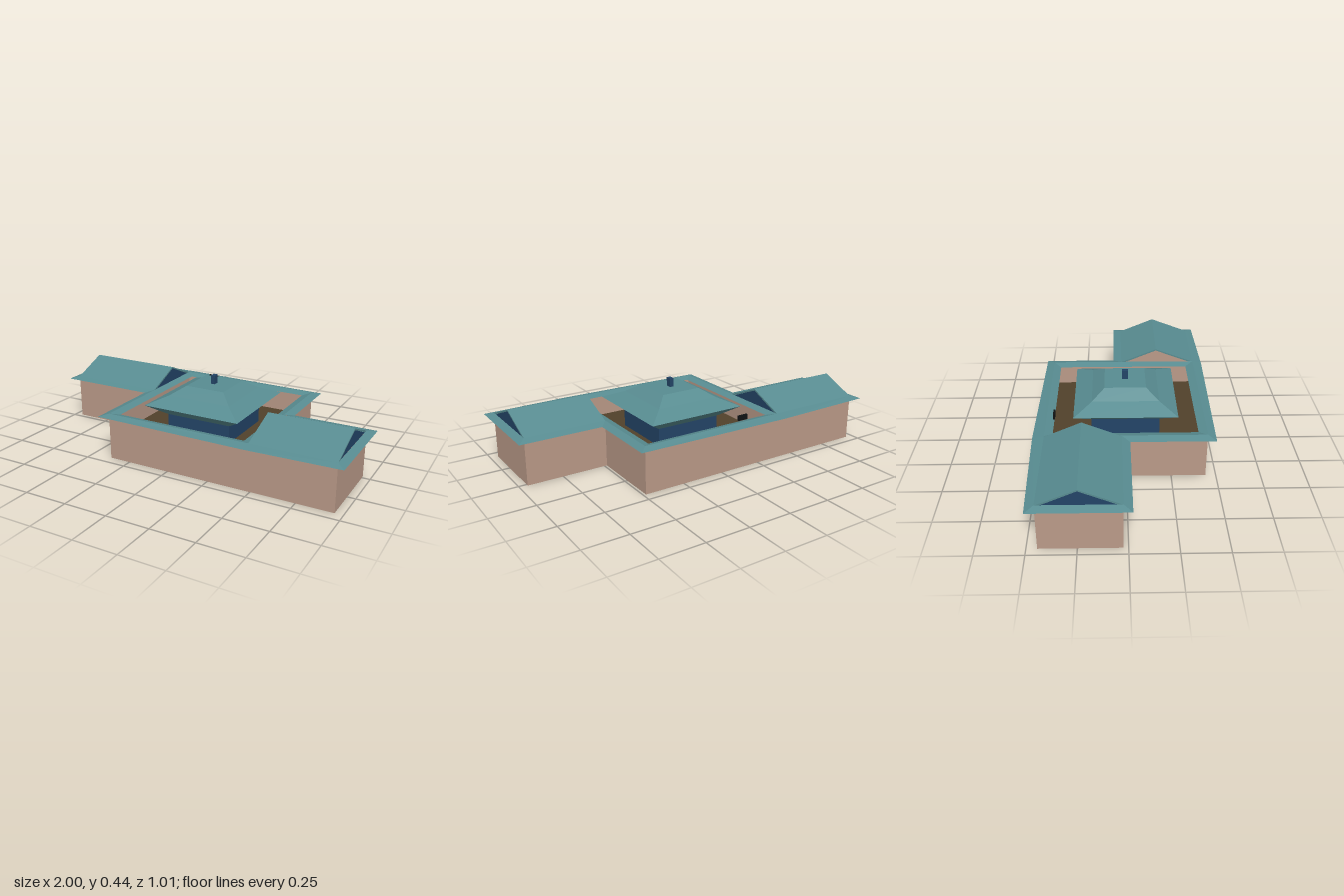
import * as THREE from 'three';

const mat = (name, color, side = THREE.DoubleSide) => {
  const m = new THREE.MeshStandardMaterial({ color, side, flatShading: true });
  m.name = name;
  return m;
};

// Joins equal-length loops of [x, z] points, each at its own height, with flat quads.
function loft(rings) {
  const pos = [];
  for (let r = 0; r < rings.length - 1; r++) {
    const [lo, y0] = rings[r], [hi, y1] = rings[r + 1], n = lo.length;
    for (let i = 0; i < n; i++) {
      const j = (i + 1) % n;
      const a = [lo[i][0], y0, lo[i][1]], b = [lo[j][0], y0, lo[j][1]];
      const c = [hi[j][0], y1, hi[j][1]], d = [hi[i][0], y1, hi[i][1]];
      pos.push(...a, ...b, ...c, ...a, ...c, ...d);
    }
  }
  const g = new THREE.BufferGeometry();
  g.setAttribute('position', new THREE.Float32BufferAttribute(pos, 3));
  g.computeVertexNormals();
  return g;
}

const toShape = (pts) => new THREE.Shape(pts.map(([x, y]) => new THREE.Vector2(x, y)));
const square = (h, cx = 0.055) => [[cx - h, h], [cx + h, h], [cx + h, -h], [cx - h, -h]];

// Extrudes a [z, y] profile along x from x0 to x1.
function extrudeX(profile, x0, x1) {
  const g = new THREE.ExtrudeGeometry(toShape(profile.map(([z, y]) => [-z, y])), { depth: x1 - x0, bevelEnabled: false });
  g.rotateY(Math.PI / 2);
  g.translate(x0, 0, 0);
  return g;
}

export function createModel() {
  const group = new THREE.Group();
  const teal = mat('roof teal', 0x588c91);
  const tan = mat('wall tan', 0xba9a88);
  const navy = mat('gable navy', 0x234467);
  const brown = mat('courtyard brown', 0x51412b);
  const black = mat('dark trim', 0x101314);

  const add = (name, geometry, material, parent = group) => {
    const m = new THREE.Mesh(geometry, material);
    m.name = name;
    parent.add(m);
    return m;
  };

  // Plan outlines: outer walls, outer eave tips, courtyard walls, inner eave tips
  const walls = [[-0.375, 0.442], [0.485, 0.442], [0.955, 0.442], [0.955, -0.015], [0.485, -0.015],
    [0.485, -0.445], [-0.375, -0.445], [-0.955, -0.445], [-0.955, -0.025], [-0.375, -0.025]];
  const eaves = [[-0.42, 0.485], [0.485, 0.5], [1, 0.485], [1, -0.065], [0.53, -0.065],
    [0.53, -0.49], [-0.375, -0.508], [-1, -0.49], [-1, 0.02], [-0.42, 0.02]];
  const court = [[-0.375, 0.442], [0.485, 0.442], [0.485, -0.445], [-0.375, -0.445]];
  const courtWall = [[-0.37, 0.437], [0.48, 0.437], [0.48, -0.44], [-0.37, -0.44]];
  const courtTip = [[-0.33, 0.395], [0.44, 0.395], [0.44, -0.4], [-0.33, -0.4]];
  const floorY = 0.12;

  // Walls and tapered eaves
  add('outerWalls', loft([[walls, 0], [walls, 0.248]]), tan);
  add('courtyardWalls', loft([[courtWall, 0.25], [courtWall, floorY]]), tan);
  add('outerEaves', loft([[walls, 0.245], [eaves, 0.257], [walls, 0.27]]), teal);
  add('courtyardEaves', loft([[court, 0.27], [courtTip, 0.257], [courtWall, 0.245]]), teal);

  // Underside with its dark strip
  const base = new THREE.ShapeGeometry(toShape(walls));
  base.rotateX(Math.PI / 2);
  add('underside', base, teal).position.y = 0.004;
  const strip = new THREE.ShapeGeometry(toShape([[0.3, 0.44], [0.37, 0.44], [0.36, 0.2], [0.4, 0.1],
    [0.37, 0], [0.35, -0.44], [0.31, -0.44], [0.32, 0], [0.34, 0.1], [0.31, 0.2]]));
  strip.rotateX(Math.PI / 2);
  add('undersideStrip', strip, black);

  // Courtyard floor
  const floor = new THREE.BoxGeometry(0.85, 0.01, 0.877);
  add('courtyardFloor', floor, brown).position.set(0.055, floorY, -0.0015);

  // Wing roofs: a thin folded roof with a filled gable at each end
  const wings = [
    { name: 'leftWing', x0: 0.485, x1: 0.955, front: 0.442, back: -0.015, ridge: 0.205, ends: [tan, navy] },
    { name: 'rightWing', x0: -0.955, x1: -0.378, front: -0.025, back: -0.445, ridge: -0.24, ends: [navy, navy] },
  ];
  for (const w of wings) {
    const wing = new THREE.Group();
    wing.name = w.name + 'Roof';
    group.add(wing);
    const fold = [[w.front, 0.268], [w.ridge, 0.358], [w.back, 0.268],
      [w.back + 0.025, 0.268], [w.ridge, 0.349], [w.front - 0.025, 0.268]];
    add(w.name + 'RoofSlopes', extrudeX(fold, w.x0, w.x1), teal, wing);
    const fill = [[w.front - 0.024, 0.266], [w.ridge, 0.35], [w.back + 0.024, 0.266]];
    add(w.name + 'InnerGable', extrudeX(fill, w.x0 + 0.003, w.x0 + 0.009), w.ends[0], wing);
    add(w.name + 'OuterGable', extrudeX(fill, w.x1 - 0.009, w.x1 - 0.003), w.ends[1], wing);
  }

  // Pavilion in the courtyard
  const pavilion = new THREE.Group();
  pavilion.name = 'pavilion';
  group.add(pavilion);
  add('pavilionWalls', loft([[square(0.195), floorY], [square(0.195), 0.24]]), navy, pavilion);
  add('pavilionRoof', loft([[square(0.19), 0.225], [square(0.292), 0.295], [square(0.19), 0.341],
    [square(0.118), 0.389], [square(0), 0.389]]), teal, pavilion);
  const finial = new THREE.BoxGeometry(0.024, 0.055, 0.034);
  add('pavilionFinial', finial, navy, pavilion).position.set(0.053, 0.4125, 0);

  // Small dark block on the rear courtyard eave
  add('eaveBlock', new THREE.BoxGeometry(0.06, 0.03, 0.01), black).position.set(-0.165, 0.277, -0.402);

  return group;
}
